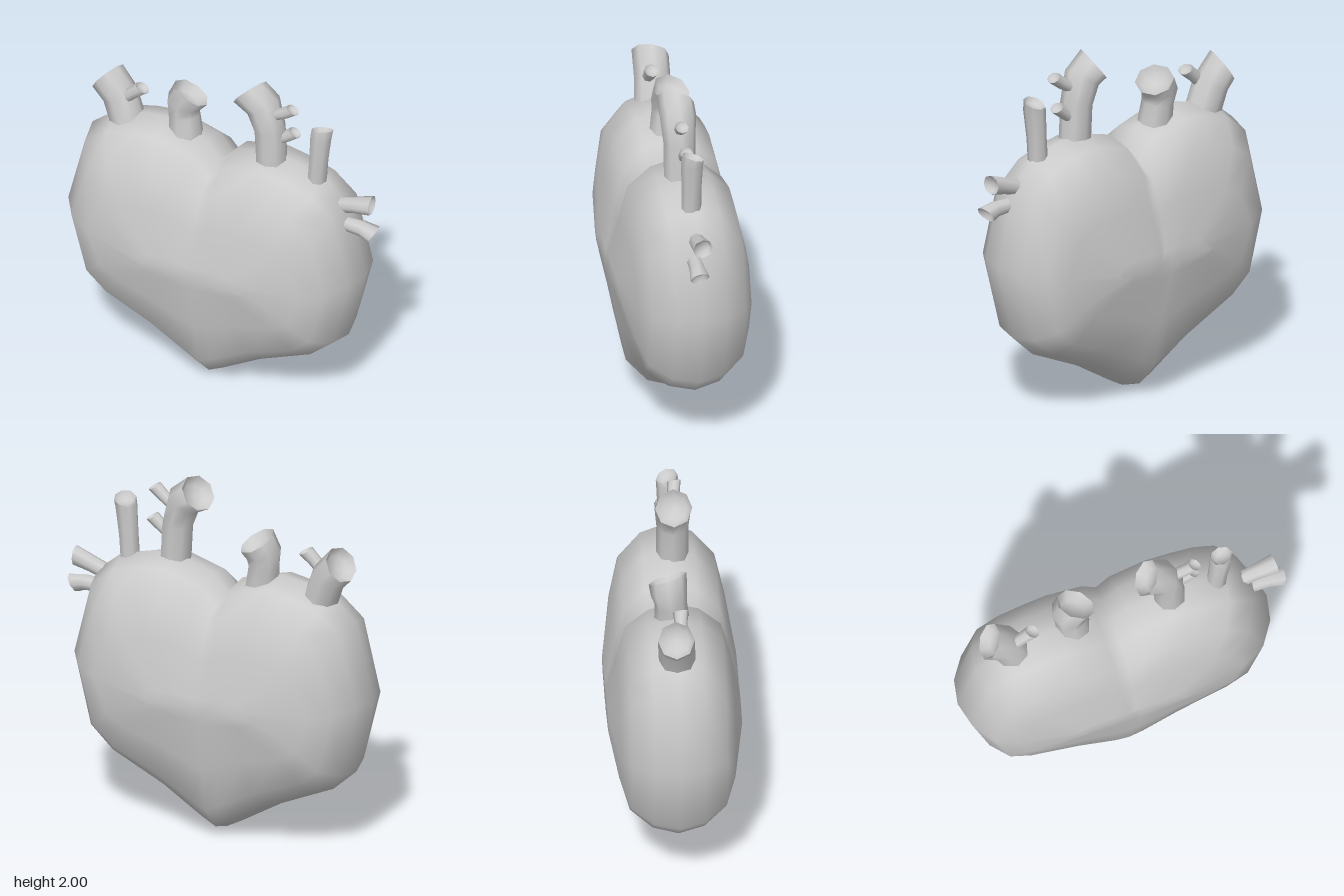
import * as THREE from 'three';
import { mergeVertices, mergeGeometries } from 'three/addons/utils/BufferGeometryUtils.js';

const material = new THREE.MeshStandardMaterial({ color: 0xcccccc, side: THREE.DoubleSide });

// Skin a list of closed rings (each an array of Vector3) with smooth normals
function loft(rings) {
  const n = rings[0].length;
  const index = [];
  for (let i = 0; i < rings.length - 1; i++) {
    for (let j = 0; j < n; j++) {
      const k = (j + 1) % n;
      const a = i * n + j, b = i * n + k, c = (i + 1) * n + k, d = (i + 1) * n + j;
      index.push(a, b, c, a, c, d);
    }
  }
  const raw = new THREE.BufferGeometry().setFromPoints(rings.flat());
  raw.setIndex(index);
  const geometry = mergeVertices(raw, 1e-4);
  geometry.computeVertexNormals();
  return geometry;
}

// Heart body: the outline shrinks to a level ridge as it bulges to front and back
function heartBody() {
  const half = [[0, 0], [0.09, 0.05], [0.33, 0.2], [0.65, 0.35], [0.79, 0.48], [0.895, 0.92],
    [0.79, 1.36], [0.65, 1.48], [0.48, 1.53], [0.33, 1.555], [0.09, 1.485], [0, 1.38]];
  const mirrored = half.slice(1, -1).reverse().map(([x, y]) => [-x, y]);
  const outline = [...half, ...mirrored];
  const midY = 0.82;
  // Each layer: width scale, height scale, depth
  const layer = ([sx, sy, z]) => outline.map(([x, y]) => {
    const groove = x === 0 ? 0.98 : 1;
    return new THREE.Vector3(-0.05 + x * sx, midY + (y - midY) * sy, z * groove);
  });
  const front = [[0.965, 0.94, 0.14], [0.87, 0.77, 0.26], [0.73, 0.45, 0.313],
    [0.37, 0.1, 0.362], [0.37, 0, 0.362]];
  const back = front.map(([sx, sy, z]) => [sx, sy, -z]).reverse();
  return loft([...back, [1, 1, 0], ...front].map(layer));
}

// Vessel stub: stations are [x, y, z, radius]; the recessed mouth faces along facing
function vessel(stations, facing, sides = 8) {
  const points = stations.map(([x, y, z]) => new THREE.Vector3(x, y, z));
  const last = points.length - 1;
  const mouthDir = new THREE.Vector3(...facing).normalize();
  const tangentAt = (i) => (i === last ? mouthDir : points[i + 1].clone()
    .sub(points[Math.max(i - 1, 0)]).normalize());
  const ring = (centre, t, r) => {
    const u = new THREE.Vector3(0, 0, 1).cross(t).normalize();
    const w = t.clone().cross(u);
    return Array.from({ length: sides }, (_, j) => {
      const a = (j / sides) * Math.PI * 2;
      return centre.clone().addScaledVector(u, r * Math.cos(a)).addScaledVector(w, r * Math.sin(a));
    });
  };
  const wall = points.map((p, i) => ring(p, tangentAt(i), stations[i][3]));
  const r = stations[last][3];
  const floor = points[last].clone().addScaledVector(mouthDir, -0.45 * r);
  const mouth = [wall[last], ring(floor, mouthDir, r * 0.65), ring(floor, mouthDir, 0)];
  return mergeGeometries([loft(wall), loft(mouth)]);
}

export function createModel() {
  const model = new THREE.Group();
  model.name = 'heart';
  const add = (name, geometry) => {
    const mesh = new THREE.Mesh(geometry, material);
    mesh.name = name;
    model.add(mesh);
  };

  add('heartBody', heartBody());

  add('rightOuterVessel', vessel([[-0.605, 1.4, 0, 0.1], [-0.675, 1.6, -0.01, 0.1],
    [-0.755, 1.69, -0.015, 0.102]], [-0.78, 0.55, -0.25]));
  add('rightOuterBranch', vessel([[-0.65, 1.59, 0.02, 0.035], [-0.57, 1.67, 0.02, 0.036],
    [-0.52, 1.713, 0.02, 0.042]], [0.45, 0.85, -0.1]));
  add('rightInnerVessel', vessel([[-0.265, 1.42, -0.01, 0.1], [-0.285, 1.6, -0.02, 0.088],
    [-0.29, 1.67, -0.03, 0.1], [-0.25, 1.738, -0.035, 0.108]], [0.42, 0.85, -0.28]));
  add('mainVessel', vessel([[0.28, 1.43, 0.02, 0.088], [0.265, 1.72, 0.02, 0.088],
    [0.225, 1.86, 0.02, 0.1], [0.14, 1.92, 0.02, 0.104]], [-0.75, 0.62, -0.28]));
  add('mainUpperBranch', vessel([[0.26, 1.8, 0.02, 0.033], [0.36, 1.86, 0.03, 0.034],
    [0.415, 1.903, 0.035, 0.038]], [0.5, 0.8, -0.1]));
  add('mainLowerBranch', vessel([[0.29, 1.64, 0.01, 0.033], [0.36, 1.69, 0.01, 0.034],
    [0.415, 1.735, 0.01, 0.038]], [0.5, 0.8, -0.1]));
  add('leftThinVessel', vessel([[0.545, 1.38, 0.01, 0.055], [0.56, 1.6, 0.01, 0.055],
    [0.575, 1.77, 0.01, 0.062], [0.58, 1.808, 0.005, 0.062]], [-0.15, 0.95, -0.35]));
  add('sideUpperVessel', vessel([[0.64, 1.33, 0.01, 0.044], [0.78, 1.375, 0.01, 0.046],
    [0.887, 1.407, 0.01, 0.056]], [1, 0, -0.1]));
  add('sideLowerVessel', vessel([[0.68, 1.25, 0.03, 0.038], [0.84, 1.25, 0.03, 0.045],
    [0.907, 1.234, 0.03, 0.055]], [0.83, -0.55, -0.1]));

  return model;
}
